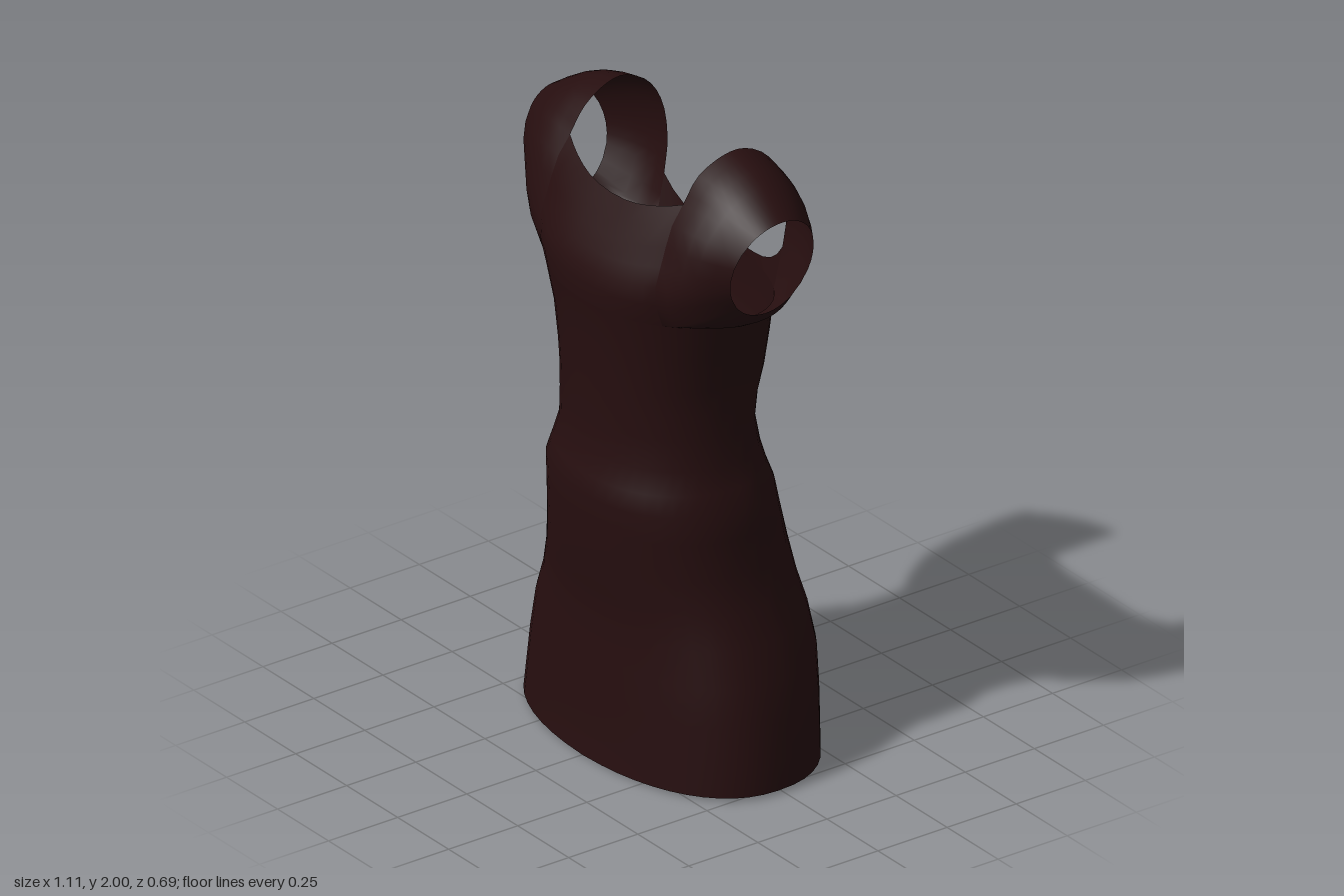
import * as THREE from 'three';
import { mergeVertices } from 'three/addons/utils/BufferGeometryUtils.js';

const V = (x, y, z) => new THREE.Vector3(x, y, z);
const lerp = THREE.MathUtils.lerp;
const CZ = 0.02;   // depth of the side seams
const TOP = 1.5;   // height of the underarm ring

// height, half width, front z, back z
const RINGS = [
  [0, 0.54, 0.332, -0.33], [0.1, 0.533, 0.322, -0.333], [0.22, 0.517, 0.315, -0.34],
  [0.34, 0.493, 0.308, -0.346], [0.45, 0.452, 0.302, -0.333], [0.55, 0.42, 0.312, -0.303],
  [0.66, 0.39, 0.33, -0.28], [0.78, 0.386, 0.336, -0.247], [0.87, 0.378, 0.345, -0.225],
  [0.93, 0.355, 0.332, -0.203], [1.0, 0.337, 0.31, -0.182], [1.1, 0.332, 0.31, -0.157],
  [1.18, 0.332, 0.311, -0.172], [1.26, 0.337, 0.315, -0.203], [1.38, 0.36, 0.32, -0.213],
  [TOP, 0.39, 0.338, -0.21],
];
// front profile above the underarm: height, z
const BUST = [[TOP, 0.338], [1.57, 0.345], [1.63, 0.332], [1.75, 0.265], [1.82, 0.222], [1.87, 0.172]];

function bustZ(y) {
  let i = 1;
  while (i < BUST.length - 1 && y > BUST[i][0]) i++;
  const [a, b] = [BUST[i - 1], BUST[i]];
  return lerp(a[1], b[1], (y - a[0]) / (b[0] - a[0]));
}

// point of a rounded cross-section; the angle runs from +x towards +z
function ringPoint([y, w, front, back], deg) {
  const a = THREE.MathUtils.degToRad(deg);
  const round = (v) => Math.sign(v) * Math.pow(Math.abs(v), 2 / 2.25);
  const c = round(Math.cos(a)), s = round(Math.sin(a));
  const hem = y === 0 ? 0.012 * Math.abs(c) : 0;
  return V(w * c, y + hem, CZ + s * (s > 0 ? front - CZ : CZ - back));
}

function angles(from, to, step = 7.5) {
  const list = [];
  for (let a = from; a <= to + 0.01; a += step) list.push(a);
  return list;
}

// smooth sheet through rows of points
function sheet(rows) {
  const n = rows[0].length, index = [];
  for (let i = 0; i < rows.length - 1; i++)
    for (let j = 0; j < n - 1; j++) {
      const a = i * n + j, b = a + 1, c = a + n, d = c + 1;
      index.push(a, c, b, b, c, d);
    }
  let g = new THREE.BufferGeometry().setFromPoints(rows.flat());
  g.setIndex(index);
  g = mergeVertices(g, 1e-4);
  g.computeVertexNormals();
  return g;
}

export function createModel() {
  const fabric = new THREE.MeshStandardMaterial({ color: 0x260e0f, side: THREE.DoubleSide });
  fabric.name = 'dark maroon fabric';
  const dress = new THREE.Group();
  dress.name = 'dress';
  const add = (name, rows) => {
    const mesh = new THREE.Mesh(sheet(rows), fabric);
    mesh.name = name;
    dress.add(mesh);
  };
  const topRing = RINGS[RINGS.length - 1];
  const cornerX = ringPoint(topRing, 45).x;

  // skirt and waist up to the underarms, open at the hem
  add('dressBody', RINGS.map((r) => angles(0, 360).map((a) => ringPoint(r, a))));

  // front panel with a shallow neckline
  const frontPoint = (deg, f) => {
    const p = ringPoint(topRing, deg), u = p.x / cornerX;
    const y = lerp(TOP, 1.812 + 0.058 * u * u, f);
    const z = bustZ(y) - (topRing[2] - p.z) * (1 - f);
    return V(lerp(p.x, u * 0.277, f), y, z);
  };
  const frontRows = [0, 0.2, 0.36, 0.52, 0.68, 0.85, 1];
  add('frontPanel', frontRows.map((f) => angles(45, 135).map((a) => frontPoint(a, f))));

  // back panel with a low scooped edge
  const backPoint = (deg, f) => {
    const p = ringPoint(topRing, deg), u = p.x / cornerX;
    return p.lerp(V(u * 0.29, 1.53 + 0.1 * u ** 4, -0.208 + 0.03 * u * u), f);
  };
  const backRows = [0, 0.5, 1];
  add('backPanel', backRows.map((f) => angles(225, 315).map((a) => backPoint(a, f))));

  // shoulder edge of the neckline, from front corner to back corner
  const strapEdge = new THREE.CatmullRomCurve3([
    frontPoint(45, 1), V(0.278, 1.945, 0.12), V(0.284, 1.99, 0.04), V(0.288, 1.998, -0.03),
    V(0.288, 1.955, -0.115), V(0.29, 1.87, -0.17), V(0.292, 1.74, -0.192), backPoint(315, 1),
  ]).getPoints(20);

  // loop where the shoulder and sleeve leave the torso
  const inner = [
    ...angles(0, 45).map((a) => ringPoint(topRing, a)),
    ...frontRows.slice(1, -1).map((f) => frontPoint(45, f)),
    ...strapEdge,
    backPoint(315, 0.5),
    ...angles(315, 360).map((a) => ringPoint(topRing, a)),
  ];

  // cap sleeve from that loop out to the arm opening
  const sleeveRows = [0, 0.2, 0.4, 0.6, 0.8, 1].map((t) => inner.map((p) => {
    const phi = Math.atan2(p.z - CZ, p.y - 1.7);
    const s = Math.sin(phi), c = Math.cos(phi);
    const y = 1.715 + 0.165 * c;
    const x = 0.515 + 0.04 * c - 0.008 * s * s;
    const bulge = Math.sin(Math.PI * t) * 0.024;
    const q = p.clone().lerp(V(x, y, CZ + 0.148 * s), t);
    q.y += bulge * c;
    q.z += bulge * s;
    return q;
  }));
  add('leftSleeve', sleeveRows);
  add('rightSleeve', sleeveRows.map((row) => row.map((p) => V(-p.x, p.y, p.z)).reverse()));

  return dress;
}
